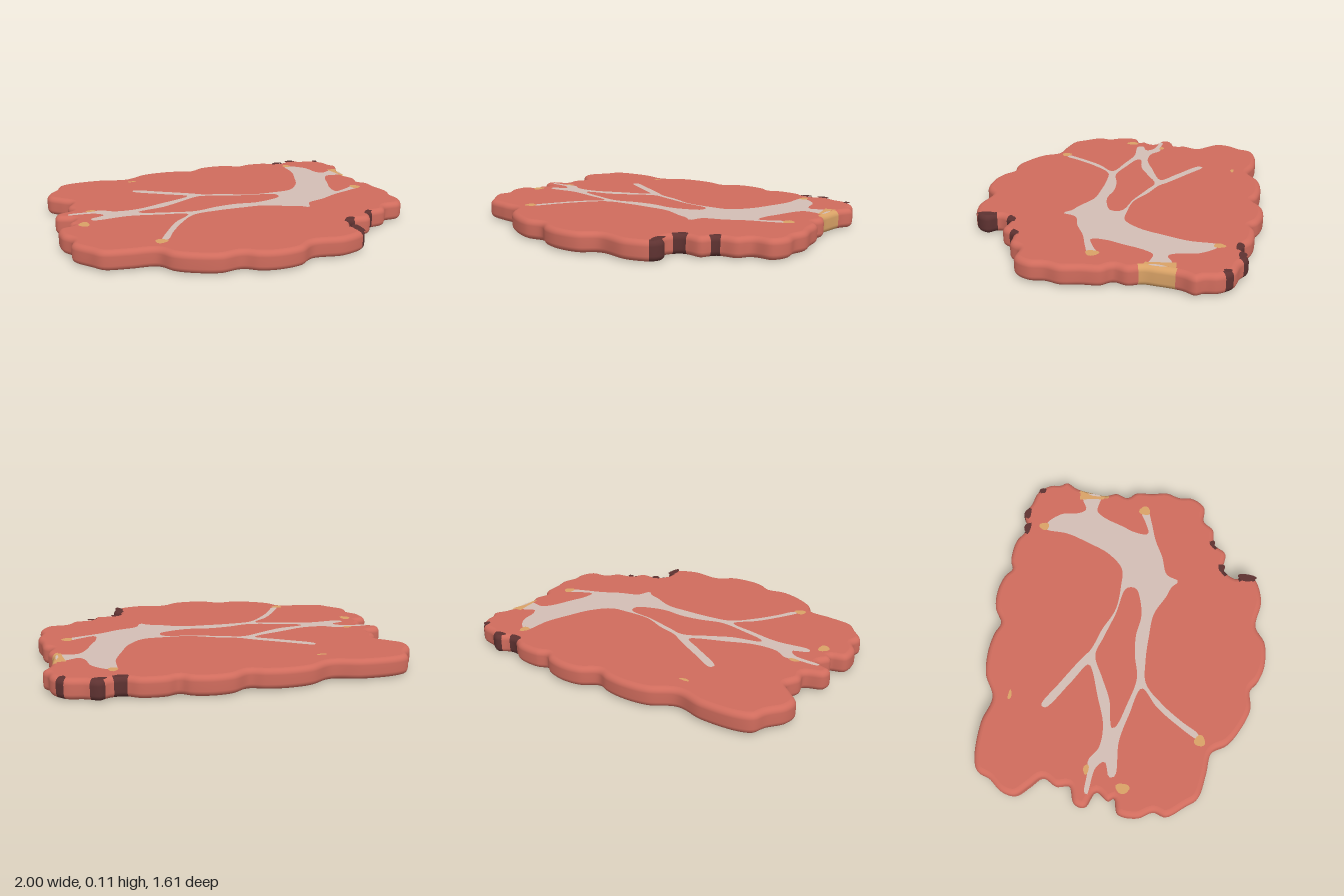
import * as THREE from 'three';

const TOP = 0.11, BOTTOM = 0.003, ROUND = 0.03;

// Outlines are [x, z] pairs, clockwise from above
const SLAB = [
  [-.87, -.71], [-.80, -.74], [-.60, -.745], [-.45, -.71], [-.32, -.775], [-.18, -.79], [-.07, -.775], [0, -.75],
  [.09, -.80], [.20, -.81], [.30, -.785], [.35, -.75], [.41, -.77], [.54, -.76], [.61, -.72], [.67, -.72],
  [.73, -.75], [.80, -.715], [.89, -.69], [.95, -.62], [.96, -.56], [.985, -.52], [.95, -.45], [.93, -.33],
  [.925, -.27], [.95, -.20], [.93, -.13], [.97, -.08], [.98, .02], [.997, .11], [.975, .19], [.98, .27],
  [.93, .35], [.83, .36], [.78, .42], [.68, .44], [.63, .51], [.52, .51], [.47, .59], [.51, .64],
  [.485, .70], [.35, .75], [.18, .73], [.085, .79], [-.05, .80], [-.14, .775], [-.21, .73], [-.32, .74],
  [-.45, .69], [-.535, .63], [-.59, .55], [-.72, .53], [-.85, .50], [-.90, .44], [-.97, .34], [-.955, .27],
  [-.997, .19], [-.99, .08], [-.91, .05], [-.93, .02], [-.89, -.05], [-.98, -.10], [-.97, -.16], [-.88, -.20],
  [-.89, -.27], [-.855, -.35], [-.91, -.41], [-.97, -.48], [-.96, -.56], [-.90, -.64],
];
const MARBLING = [
  [.635, -.60], [.68, -.59], [.75, -.51], [.77, -.41], [.80, -.37], [.865, -.40], [.905, -.40], [.905, -.29],
  [.86, -.295], [.80, -.30], [.76, -.25], [.715, -.13], [.685, -.05], [.685, .03], [.77, 0], [.83, -.03],
  [.86, 0], [.77, .04], [.65, .08], [.54, .135], [.43, .175], [.395, .25], [.355, .215], [.29, .19],
  [.165, .13], [.03, .12], [-.13, .12], [-.26, .14], [-.37, .25], [-.45, .365], [-.51, .465], [-.54, .47],
  [-.46, .32], [-.385, .215], [-.29, .12], [-.45, .07], [-.61, .035], [-.80, .04], [-.81, .01], [-.73, -.025],
  [-.77, -.07], [-.92, -.095], [-.91, -.11], [-.80, -.11], [-.73, -.115], [-.66, -.07], [-.53, -.065], [-.37, -.12],
  [-.21, -.18], [-.19, -.20], [-.315, -.285], [-.475, -.40], [-.465, -.425], [-.315, -.34], [-.155, -.24], [-.10, -.20],
  [.03, -.155], [.165, -.095], [.325, -.085], [.43, -.095], [.52, -.19], [.575, -.32], [.62, -.455],
];
const LEAN_ISLAND = [
  [-.54, -.015], [-.385, -.05], [-.26, -.11], [-.13, -.17], [-.02, -.14], [.14, -.09], [.31, -.05], [.315, .005],
  [.245, .04], [.14, .06], [.02, .045], [-.10, .055], [-.235, .085], [-.395, .05], [-.53, .005],
];
const EDGE_FAT = [[.865, -.42], [.925, -.425], [.90, -.34], [.905, -.27], [.885, -.275], [.88, -.33]];

// Small spots: x, z, half width, half depth
const FAT_SPOTS = [
  [-.43, -.61, .028, .01], [.65, -.605, .025, .03], [-.785, -.12, .028, .015],
  [-.86, .09, .028, .038], [-.545, .475, .032, .03], [.84, -.01, .03, .034],
];
const CHAR_SPOTS = [
  [.625, -.705, .035, .02], [.725, -.72, .035, .02], [.895, -.66, .017, .02],
  [.52, .495, .026, .02], [.675, .425, .02, .016], [.477, .65, .024, .055],
];
// Coloured stretches of the rim: x, z, radius, material index
const RIM_PATCHES = [
  [.93, -.35, .085, 1], [.50, .65, .06, 2], [.625, -.72, .03, 2], [.73, -.75, .035, 2],
  [.91, -.68, .025, 2], [.52, .51, .025, 2], [.68, .44, .018, 2],
];

const material = (name, color, side = THREE.FrontSide) => {
  const m = new THREE.MeshStandardMaterial({ color, side });
  m.name = name;
  return m;
};

// Smooth closed curve through [x, z] pairs
function smooth(points, samples) {
  const curve = new THREE.CatmullRomCurve3(points.map(([x, z]) => new THREE.Vector3(x, 0, z)), true);
  return curve.getSpacedPoints(samples).slice(0, -1).map(p => [p.x, p.z]);
}

function ellipse([x, z, rx, rz]) {
  return Array.from({ length: 16 }, (_, i) => {
    const a = i / 16 * Math.PI * 2, wobble = 1 + 0.1 * Math.sin(3 * a + x * 9);
    return [x + Math.cos(a) * rx * wobble, z + Math.sin(a) * rz * wobble];
  });
}

// Horizontal face, facing up or down
function plate(name, points, y, mat, up = true, hole = null) {
  const to2D = list => list.map(([x, z]) => new THREE.Vector2(x, up ? -z : z));
  const shape = new THREE.Shape(to2D(points));
  if (hole) shape.holes.push(new THREE.Path(to2D(hole)));
  const mesh = new THREE.Mesh(new THREE.ShapeGeometry(shape).rotateX(up ? -Math.PI / 2 : Math.PI / 2), mat);
  mesh.position.y = y;
  mesh.name = name;
  return mesh;
}

// Outline moved inwards along its normals
function inset(points, d) {
  const n = points.length;
  return points.map(([x, z], i) => {
    const a = points[(i + n - 2) % n], b = points[(i + 2) % n];
    const tx = b[0] - a[0], tz = b[1] - a[1], len = Math.hypot(tx, tz) || 1;
    return [x - tz / len * d, z + tx / len * d];
  });
}

// Rounded rim lofted from stacked outlines, one material group per stretch
function rimGeometry(outline) {
  const profile = [], steps = 5, n = outline.length;
  for (let k = 0; k <= steps; k++) {
    const a = k / steps * Math.PI / 2;
    profile.push([ROUND * (1 - Math.sin(a)), BOTTOM + ROUND * (1 - Math.cos(a))]);
  }
  for (let k = steps; k >= 0; k--) profile.push([profile[k][0], TOP + BOTTOM - profile[k][1]]);

  const positions = [], index = [], geometry = new THREE.BufferGeometry();
  for (const [d, y] of profile) for (const [x, z] of inset(outline, d)) positions.push(x, y, z);
  outline.forEach(([x, z], i) => {
    const next = (i + 1) % n, start = index.length;
    for (let j = 0; j < profile.length - 1; j++) {
      const a = j * n + i, b = j * n + next, c = a + n, d = b + n;
      index.push(a, c, b, b, c, d);
    }
    const patch = RIM_PATCHES.find(([px, pz, r]) => Math.hypot(x - px, z - pz) < r);
    geometry.addGroup(start, index.length - start, patch ? patch[3] : 0);
  });
  geometry.setAttribute('position', new THREE.Float32BufferAttribute(positions, 3));
  geometry.setIndex(index);
  geometry.computeVertexNormals();
  return geometry;
}

export function createModel() {
  const group = new THREE.Group();
  group.name = 'steak';
  const meat = material('meat red', 0xd06c5d);
  const marble = material('marbling white', 0xd3beb5);
  const fat = material('fat yellow', 0xd9a266);
  const char = material('char brown', 0x5e3231);

  // Slab: rim and two faces
  const outline = smooth(SLAB, 420);
  const rim = new THREE.Mesh(rimGeometry(outline), [meat, fat, char]);
  rim.name = 'rim';
  const face = inset(outline, ROUND);
  group.add(rim, plate('topFace', face, TOP, meat), plate('bottomFace', face, BOTTOM, meat, false));

  // Marbling on both faces
  const veins = smooth(MARBLING, 320), island = smooth(LEAN_ISLAND, 90);
  group.add(plate('topMarbling', veins, TOP + 0.003, marble, true, island));
  group.add(plate('bottomMarbling', veins, 0, marble, false, island));

  // Fat and char spots on the top
  group.add(plate('edgeFat', EDGE_FAT, TOP + 0.0045, fat));
  FAT_SPOTS.forEach(s => group.add(plate('fatSpot', ellipse(s), TOP + 0.0045, fat)));
  CHAR_SPOTS.forEach(s => group.add(plate('charSpot', ellipse(s), TOP + 0.002, char)));
  return group;
}
